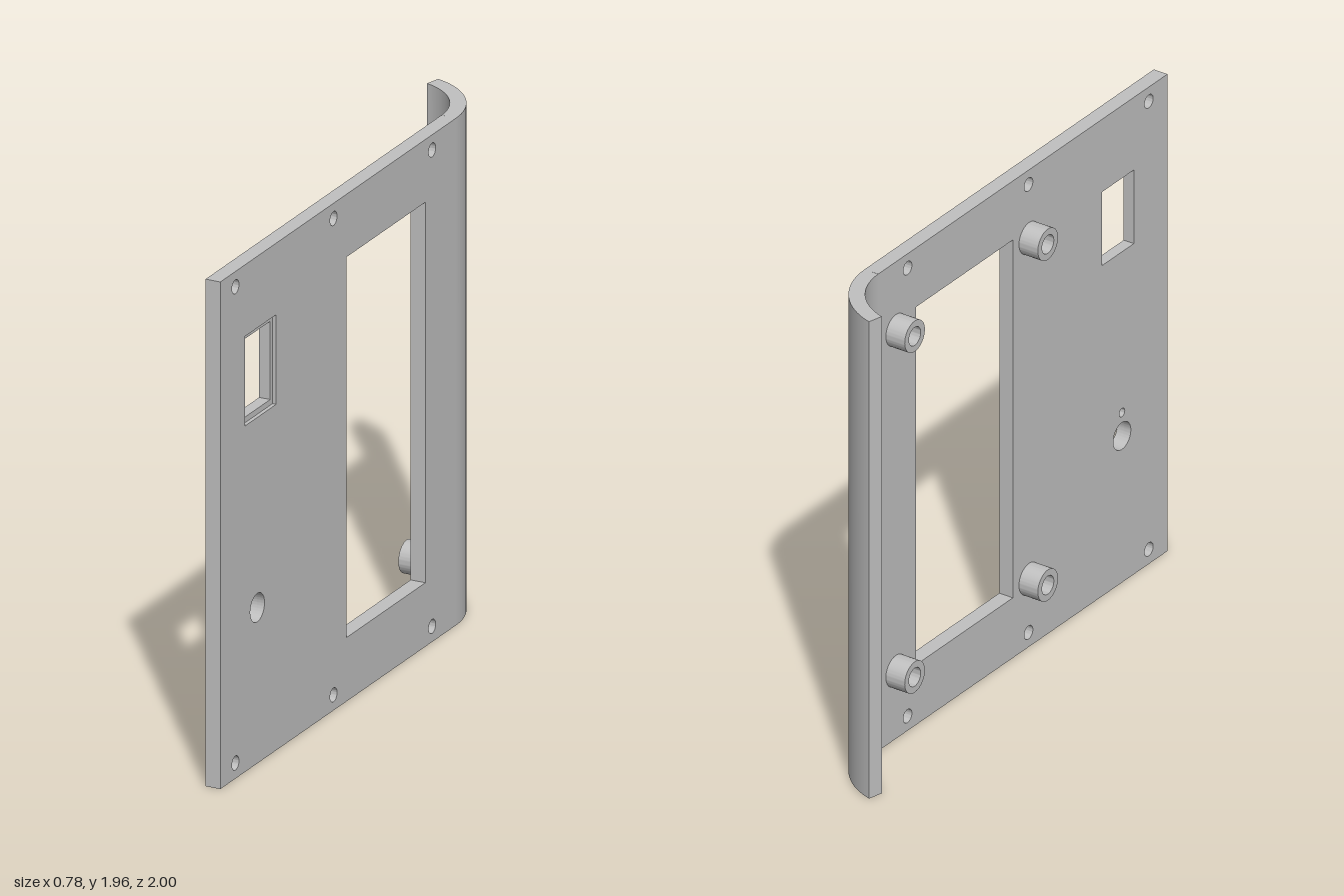
import * as THREE from 'three';
import { toCreasedNormals } from 'three/addons/utils/BufferGeometryUtils.js';

const H = 1.963;          // panel height
const T = 0.06;           // panel thickness
const R = 0.318;          // outer radius of the curled edge
const TILT = Math.PI / 12;

const grey = new THREE.MeshStandardMaterial({ color: 0xc0c0c0 });
grey.name = 'metal grey';

function extrude(shape, depth) {
  const g = new THREE.ExtrudeGeometry(shape, { depth, bevelEnabled: false, curveSegments: 32 });
  return toCreasedNormals(g, 0.5);
}

function part(name, geometry, parent) {
  const m = new THREE.Mesh(geometry, grey);
  m.name = name;
  parent.add(m);
  return m;
}

function rect(PathType, u0, u1, v0, v1) {
  const p = new PathType();
  p.moveTo(u0, v0);
  p.lineTo(u1, v0);
  p.lineTo(u1, v1);
  p.lineTo(u0, v1);
  p.closePath();
  return p;
}

function circle(PathType, u, v, r) {
  const p = new PathType();
  p.absarc(u, v, r, 0, Math.PI * 2, false);
  return p;
}

// One layer of the flat panel with the through openings shared by all layers
function panelLayer(extraHoles) {
  const s = rect(THREE.Shape, -0.791, 1.0195, 0, H);
  s.holes.push(rect(THREE.Path, -0.555, 0.052, 0.247, 1.72));
  s.holes.push(circle(THREE.Path, 0.735, 0.603, 0.055));
  for (const u of [-0.607, 0.15, 0.903]) {
    for (const v of [0.06, 1.904]) s.holes.push(circle(THREE.Path, u, v, 0.027));
  }
  s.holes.push(...extraHoles);
  return s;
}

export function createModel() {
  const model = new THREE.Group();
  model.name = 'curvedPanel';

  // Flat panel: local x runs along the plate, local z points to the inner side
  const flat = new THREE.Group();
  flat.name = 'flatPanel';
  flat.position.x = 0.1242;
  flat.rotation.y = TILT - Math.PI / 2;
  model.add(flat);

  const recess = () => rect(THREE.Path, 0.59, 0.828, 1.339, 1.686);
  const opening = () => rect(THREE.Path, 0.608, 0.809, 1.361, 1.664);
  const blindHole = () => circle(THREE.Path, 0.735, 0.699, 0.017);
  const layers = [
    ['outerSkin', 0, 0.015, [recess()]],
    ['core', 0.015, 0.03, [opening()]],
    ['innerSkin', 0.03, T, [opening(), blindHole()]],
  ];
  for (const [name, z0, z1, holes] of layers) {
    part(name, extrude(panelLayer(holes), z1 - z0), flat).position.z = z0;
  }

  // Hollow mounting bosses around the large window
  const ring = circle(THREE.Shape, 0, 0, 0.063);
  ring.holes.push(circle(THREE.Path, 0, 0, 0.037));
  const bossGeometry = extrude(ring, 0.083);
  for (const u of [-0.68, 0.153]) {
    for (const v of [0.28, 1.683]) {
      part('mountingBoss', bossGeometry, flat).position.set(u, v, T);
    }
  }

  // Curled rear edge
  const arc = new THREE.Shape();
  arc.absarc(-0.388, 1 - R, R, TILT, Math.PI / 2, false);
  arc.absarc(-0.388, 1 - R, R - T, Math.PI / 2, TILT, true);
  arc.closePath();
  part('curledEdge', extrude(arc, H).rotateX(-Math.PI / 2), model);

  return model;
}
